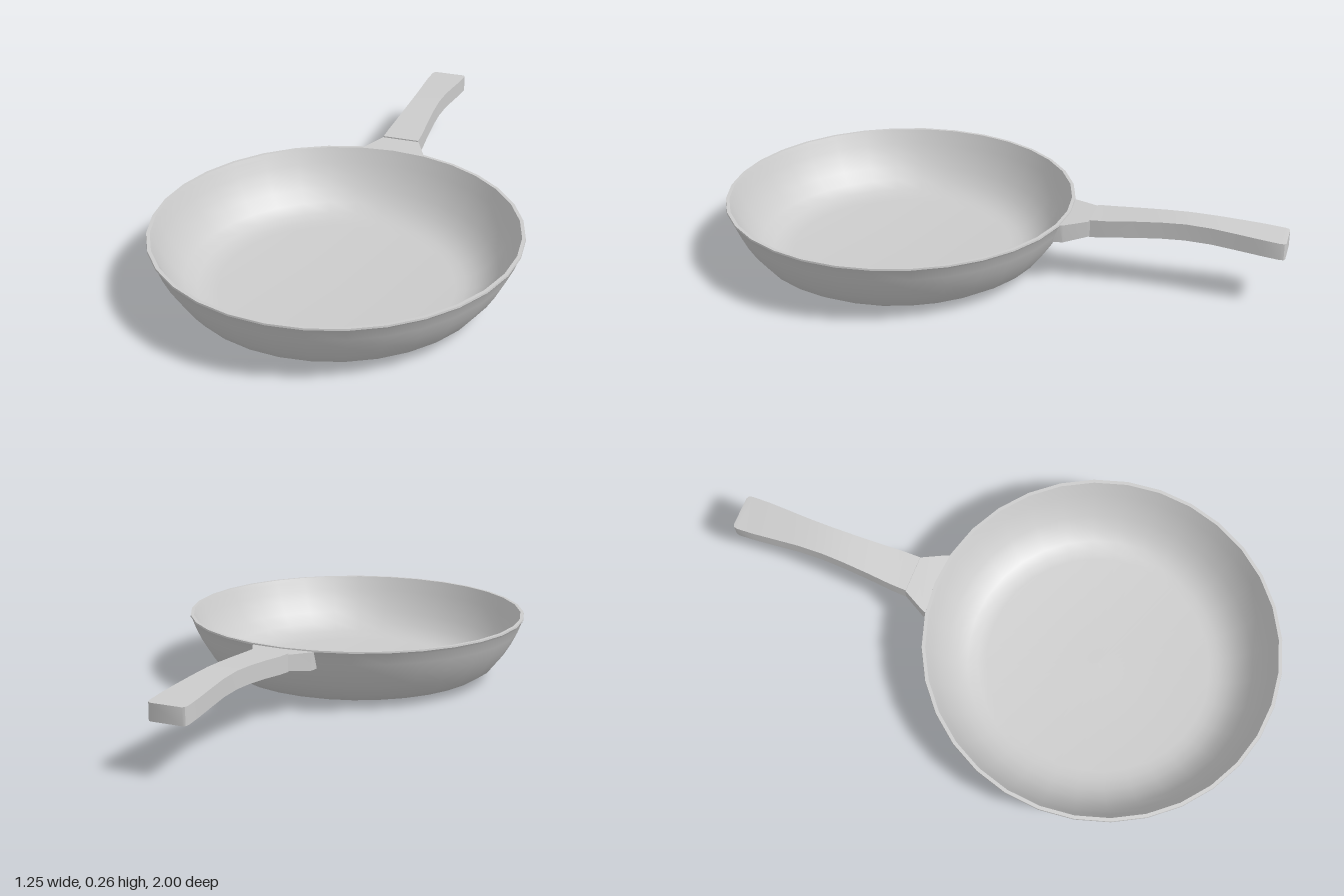
import * as THREE from 'three';
import { toCreasedNormals } from 'three/addons/utils/BufferGeometryUtils.js';

const material = new THREE.MeshStandardMaterial({ color: 0xcccccc });

// Joins four-cornered rings, listed from front to back, into a closed solid
function loft(rings, crease) {
  const index = [0, 1, 2, 0, 2, 3];
  for (let k = 0; k < rings.length - 1; k++) {
    for (let i = 0; i < 4; i++) {
      const a = k * 4 + i, b = k * 4 + (i + 1) % 4;
      index.push(a, a + 4, b, b, a + 4, b + 4);
    }
  }
  const e = (rings.length - 1) * 4;
  index.push(e, e + 2, e + 1, e, e + 3, e + 2);
  const geometry = new THREE.BufferGeometry();
  geometry.setAttribute('position', new THREE.Float32BufferAttribute(rings.flat(2), 3));
  geometry.setIndex(index);
  return toCreasedNormals(geometry, crease);
}

// Rectangular ring; the top and bottom edges may sit at different z
const ring = (halfWidth, bottom, top, zBottom, zTop = zBottom) => [
  [-halfWidth, bottom, zBottom], [halfWidth, bottom, zBottom],
  [halfWidth, top, zTop], [-halfWidth, top, zTop],
];

export function createModel() {
  const group = new THREE.Group();
  const add = (name, geometry) => {
    const mesh = new THREE.Mesh(geometry, material);
    mesh.name = name;
    group.add(mesh);
    return mesh;
  };

  // Pan body: base, flared outer wall, thin rim, inner wall and cooking floor
  const profile = [
    [0, 0], [0.40, 0.003], [0.44, 0.007], [0.475, 0.018], [0.52, 0.046],
    [0.555, 0.09], [0.583, 0.135], [0.605, 0.18], [0.618, 0.215],
    [0.625, 0.225], [0.624, 0.231], [0.612, 0.231],
    [0.605, 0.215], [0.59, 0.18], [0.57, 0.14], [0.543, 0.098],
    [0.51, 0.058], [0.47, 0.031], [0.435, 0.02], [0.40, 0.016], [0, 0.016],
  ].map(([r, y]) => new THREE.Vector2(r, y));
  const pan = add('panBody', toCreasedNormals(new THREE.LatheGeometry(profile, 32), 0.75));
  pan.position.z = 0.375;

  // Flared bracket fixed to the wall
  add('handleBracket', loft([
    ring(0.115, 0.162, 0.226, -0.214, -0.238),
    ring(0.112, 0.163, 0.227, -0.25),
    ring(0.064, 0.178, 0.234, -0.34),
  ], 0.3));

  // Waisted, gently arched grip with rounded end corners
  add('handle', loft([
    ring(0.067, 0.174, 0.238, -0.332),
    ring(0.066, 0.179, 0.241, -0.39),
    ring(0.060, 0.188, 0.249, -0.48),
    ring(0.055, 0.196, 0.256, -0.58),
    ring(0.053, 0.199, 0.259, -0.66),
    ring(0.055, 0.197, 0.256, -0.75),
    ring(0.061, 0.190, 0.249, -0.84),
    ring(0.066, 0.183, 0.242, -0.92),
    ring(0.067, 0.177, 0.236, -0.982),
    ring(0.063, 0.176, 0.235, -0.995),
    ring(0.055, 0.176, 0.234, -1.0),
  ], 0.6));

  return group;
}
